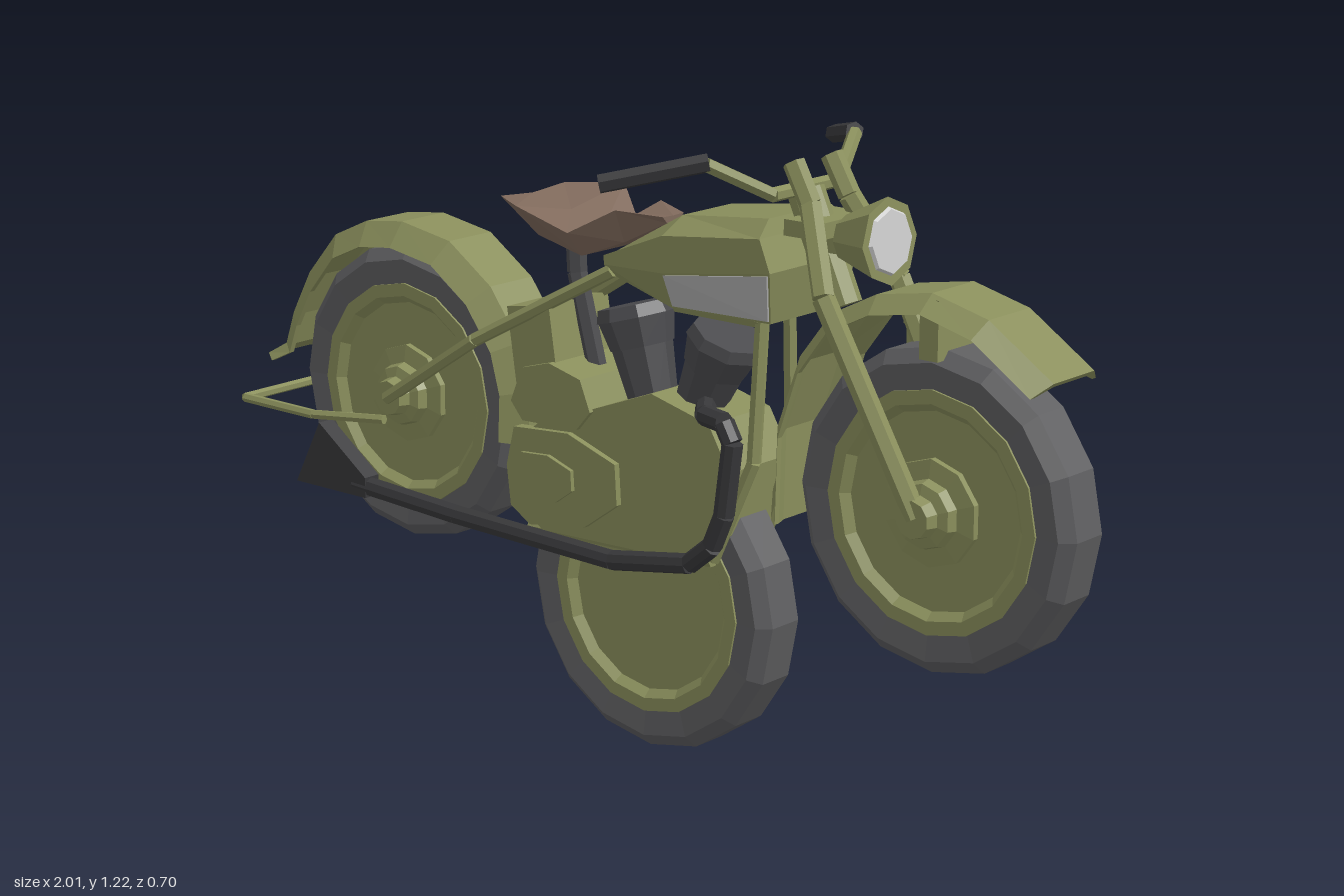
import * as THREE from 'three';
import { mergeGeometries } from 'three/addons/utils/BufferGeometryUtils.js';

const paint = (name, color) => {
  const m = new THREE.MeshStandardMaterial({ color });
  m.name = name;
  return m;
};
const V = (p) => new THREE.Vector3(...p);

// Facets any geometry
function flat(geo) {
  const g = geo.index ? geo.toNonIndexed() : geo;
  g.computeVertexNormals();
  return g;
}

// Skin over a row of equal closed loops of [x, y, z], capped at both ends
function loft(rings) {
  const n = rings[0].length, tris = [];
  const quad = (a, b, c, d) => tris.push([a, b, c], [a, c, d]);
  for (let r = 0; r + 1 < rings.length; r++)
    for (let i = 0; i < n; i++) {
      const j = (i + 1) % n;
      quad(rings[r][i], rings[r][j], rings[r + 1][j], rings[r + 1][i]);
    }
  const last = rings[rings.length - 1];
  for (let i = 0; i < Math.floor(n / 2); i++) {
    const j = n - 1 - i;
    if (i + 1 > j - 1) break;
    quad(rings[0][i], rings[0][j], rings[0][j - 1], rings[0][i + 1]);
    quad(last[i], last[i + 1], last[j - 1], last[j]);
  }
  // Turn the skin outward if its volume comes out negative
  const vol = tris.reduce((s, [a, b, c]) => s + V(a).dot(V(b).cross(V(c))), 0);
  const pos = tris.flatMap(([a, b, c]) => (vol < 0 ? [a, c, b] : [a, b, c])).flat();
  const g = new THREE.BufferGeometry();
  g.setAttribute('position', new THREE.Float32BufferAttribute(pos, 3));
  return flat(g);
}

// Straight bar or cone between two points
function bar(a, b, ra, rb = ra, sides = 6) {
  const A = V(a), d = V(b).sub(A), len = d.length();
  const g = new THREE.CylinderGeometry(rb, ra, len, sides).translate(0, len / 2, 0);
  g.applyQuaternion(new THREE.Quaternion().setFromUnitVectors(new THREE.Vector3(0, 1, 0), d.normalize()));
  return flat(g.translate(A.x, A.y, A.z));
}
const rod = (pts, r, sides) =>
  mergeGeometries(pts.slice(1).map((p, i) => bar(pts[i], p, r, r, sides)));

// Flat outline in x, y pulled from z0 to z1
function slab(pts, z0, z1) {
  const shape = new THREE.Shape(pts.map((p) => new THREE.Vector2(...p)));
  return flat(new THREE.ExtrudeGeometry(shape, { depth: z1 - z0, bevelEnabled: false }).translate(0, 0, z0));
}

const box = (x0, x1, y0, y1, z0, z1) => flat(new THREE.BoxGeometry(x1 - x0, y1 - y0, z1 - z0)
  .translate((x0 + x1) / 2, (y0 + y1) / 2, (z0 + z1) / 2));

// Turned part with its axle along z; profile is [radius, z]
const turned = (profile, sides) => flat(new THREE.LatheGeometry(
  profile.map((p) => new THREE.Vector2(...p)), sides).rotateX(Math.PI / 2));

// Channel mudguard following an outer path around a wheel centre
function mudguard(path, cx, cy, w, drop) {
  const t = 0.012;
  const section = [[0.04 + drop, -w], [0, -0.62 * w], [0, 0.62 * w], [0.04 + drop, w],
    [0.04 + drop, w - t], [t, 0.62 * w - t], [t, -0.62 * w + t], [0.04 + drop, -w + t]];
  return loft(path.map(([x, y]) => {
    const len = Math.hypot(cx - x, cy - y);
    return section.map(([d, z]) => [x + (cx - x) / len * d, y + (cy - y) / len * d, z]);
  }));
}

export function createModel() {
  const green = paint('olive paint', 0x8a8f5c);
  const rubber = paint('tyre rubber', 0x5e5e60);
  const iron = paint('dark iron', 0x4a4a4d);
  const black = paint('black enamel', 0x38383a);
  const leather = paint('brown leather', 0x806a5c);
  const glass = paint('lamp glass', 0xd0d0d0);
  const grey = paint('grey panel', 0xb2b2b2);

  const model = new THREE.Group();
  model.name = 'motorcycle';
  const add = (name, geo, mat, parent = model) => {
    const m = new THREE.Mesh(geo, mat);
    m.name = name;
    parent.add(m);
    return m;
  };

  // Two road wheels and the hubless lower wheel
  for (const [name, x, y, hub] of [['rearWheel', -0.6, 0.6, true], ['frontWheel', 0.7, 0.6, true], ['lowerWheel', 0.035, 0.3, false]]) {
    const wheel = new THREE.Group();
    wheel.name = name;
    wheel.position.set(x, y, 0);
    model.add(wheel);
    add('tyre', turned([[0.215, -0.052], [0.275, -0.06], [0.3, -0.038], [0.3, 0.038], [0.275, 0.06], [0.215, 0.052]], 16), rubber, wheel);
    add('disc', turned([[0, -0.042], [0.185, -0.042], [0.2, -0.058], [0.226, -0.058], [0.226, 0.058], [0.2, 0.058], [0.185, 0.042], [0, 0.042]], 16), green, wheel);
    if (hub) add('hub', turned([[0, -0.11], [0.035, -0.11], [0.04, -0.085], [0.06, -0.08], [0.065, -0.06], [0.1, -0.055],
      [0.1, 0.055], [0.065, 0.06], [0.06, 0.08], [0.04, 0.085], [0.035, 0.11], [0, 0.11]], 10), green, wheel);
  }

  // Mudguards
  add('frontMudguard', mudguard([[0.355, 0.52], [0.36, 0.7], [0.41, 0.84], [0.48, 0.93], [0.58, 0.98], [0.7, 1.0],
    [0.82, 0.97], [0.957, 0.88]], 0.7, 0.6, 0.1, -0.008), green);
  add('rearMudguard', mudguard([[-1.0, 0.62], [-0.945, 0.65], [-0.92, 0.72], [-0.87, 0.81], [-0.79, 0.9], [-0.7, 0.94], [-0.6, 0.952],
    [-0.47, 0.93], [-0.36, 0.855], [-0.285, 0.755], [-0.258, 0.66], [-0.262, 0.55]], -0.6, 0.6, 0.095, 0.008), green);
  add('mudguardStrut', box(0.68, 0.72, 0.88, 0.99, -0.07, 0.07), green);

  // Mirrored frame, fork, handlebar and rear carrier rails
  for (const s of [1, -1]) {
    const side = s > 0 ? 'left' : 'right';
    const m = (pts) => pts.map(([x, y, z]) => [x, y, z * s]);
    add(side + 'Fork', rod(m([[0.385, 1.19, 0.055], [0.425, 1.12, 0.057], [0.5, 0.97, 0.112], [0.7, 0.6, 0.095]]), 0.021), green);
    add(side + 'SeatStay', rod(m([[-0.6, 0.6, 0.11], [-0.35, 0.76, 0.115], [-0.05, 0.93, 0.05]]), 0.014), green);
    add(side + 'DownTube', rod(m([[0.1, 0.885, 0.04], [0.305, 0.885, 0.04], [0.3, 0.62, 0.055], [0.22, 0.42, 0.075], [-0.24, 0.4, 0.075]]), 0.014), green);
    add(side + 'CarrierRail', rod(m([[-1, 0.537, 0.127], [-0.8, 0.535, 0.125], [-0.62, 0.55, 0.1]]), 0.01), green);
    add(side + 'Handlebar', rod(m([[0.37, 1.135, 0], [0.37, 1.135, 0.095], [0.315, 1.2, 0.215]]), 0.014), green);
    add(side + 'Grip', bar(...m([[0.318, 1.203, 0.21], [0.172, 1.165, 0.337]]), 0.018), black);
  }
  add('carrierCrossbar', bar([-1, 0.537, -0.13], [-1, 0.537, 0.13], 0.01), green);
  add('headStock', bar([0.37, 1.13, 0], [0.46, 0.93, 0], 0.035, 0.035, 8), green);
  add('forkCrown', box(0.38, 0.46, 1.06, 1.09, -0.075, 0.075), green);

  // Fuel tank; one section per [x, top, ridge, bottom, half widths of each]
  const tankSection = ([x, dx, top, ridge, bottom, wt, wr, wb]) => {
    const half = [[x, top, wt], [x + dx * 0.3, top - 0.03 * (wr > 0.1), wr], [x + dx, ridge, wr], [x + dx * 0.4, bottom, wb]];
    return [...half, ...half.map(([a, b, c]) => [a, b, -c]).reverse()];
  };
  add('fuelTank', loft([
    [-0.068, 0, 0.958, 0.94, 0.922, 0.03, 0.055, 0.04],
    [0.14, 0, 1.065, 0.965, 0.895, 0.07, 0.13, 0.1],
    [0.358, 0.035, 1.09, 1.0, 0.9, 0.09, 0.13, 0.1]].map(tankSection)), green);
  const panelEnd = (x0, y0, x1, y1) => [[x0, y0, 0.133], [x1, y1, 0.106], [x1, y1, 0.098], [x0, y0, 0.125]];
  add('tankPanel', loft([panelEnd(0.145, 0.962, 0.145, 0.9), panelEnd(0.388, 0.995, 0.37, 0.905)]), grey);

  // Saddle and post
  add('saddle', loft([[-0.3, 0.09, 1.047, 1.04, 1.025], [-0.2, 0.155, 1.05, 1.02, 0.985], [-0.12, 0.1, 1.0, 0.99, 0.95],
    [-0.03, 0.066, 1.05, 1.035, 0.985], [0.057, 0.03, 1.043, 1.042, 1.03]].map(([x, w, edge, mid, low]) =>
    [[x, edge, -w], [x, mid, 0], [x, edge, w], [x, low, 0.6 * w], [x, low, -0.6 * w]])), leather);
  add('seatPost', rod([[-0.19, 1.0, 0], [-0.185, 0.9, 0], [-0.13, 0.7, 0]], 0.02), iron);

  // Headlamp
  add('headlampShell', bar([0.465, 1.055, 0], [0.56, 1.062, 0], 0.042, 0.08, 8), green);
  add('headlampGlass', bar([0.559, 1.062, 0], [0.566, 1.0625, 0], 0.063, 0.058, 8), glass);
  add('headlampBracket', box(0.4, 0.48, 1.03, 1.07, -0.03, 0.03), green);

  // Engine cases
  add('crankcase', slab([[-0.26, 0.57], [-0.2, 0.62], [-0.08, 0.66], [0, 0.69], [0.08, 0.72], [0.22, 0.685], [0.27, 0.6],
    [0.25, 0.47], [0.15, 0.41], [-0.2, 0.4], [-0.26, 0.45]], -0.09, 0.09), green);
  add('gearbox', slab([[-0.27, 0.65], [-0.24, 0.72], [-0.17, 0.74], [-0.09, 0.72], [-0.065, 0.66], [-0.1, 0.62], [-0.24, 0.615]], -0.08, 0.1), green);
  const primary = [[-0.28, 0.52], [-0.26, 0.6], [-0.12, 0.61], [0, 0.57], [0.005, 0.49], [-0.08, 0.43], [-0.22, 0.41], [-0.27, 0.44]];
  const shrink = (pts, k, cx, cy) => pts.map(([x, y]) => [cx + (x - cx) * k, cy + (y - cy) * k]);
  add('primaryCover', slab(primary, 0.08, 0.103), green);
  add('primaryCap', slab(shrink(primary, 0.5, -0.21, 0.51), 0.1, 0.112), green);
  // Stepped cover on the far side
  const timing = [[-0.28, 0.5], [-0.24, 0.42], [-0.12, 0.39], [0.1, 0.42], [0.24, 0.56], [0.2, 0.64], [0.05, 0.66], [-0.15, 0.62], [-0.25, 0.57]];
  [[1, 0.115], [0.78, 0.132], [0.52, 0.147], [0.28, 0.162]].forEach(([k, z]) =>
    add('timingCover', slab(shrink(timing, k, -0.12, 0.5), -z, -0.08), green));
  const battery = add('batteryBox', box(-0.055, 0.055, -0.08, 0.08, -0.085, 0.085), green);
  battery.position.set(-0.225, 0.76, 0);
  battery.rotation.z = 0.15;

  // Twin cylinders with wide heads
  for (const [a, b] of [[[0.015, 0.66], [-0.04, 0.855]], [[0.11, 0.66], [0.192, 0.835]]]) {
    const at = (t) => [a[0] + (b[0] - a[0]) * t, a[1] + (b[1] - a[1]) * t, 0];
    add('cylinder', bar(at(0), at(0.65), 0.045, 0.06, 8), iron);
    add('cylinderHead', bar(at(0.62), at(0.93), 0.062, 0.075, 8), iron);
    add('cylinderCap', bar(at(0.9), at(1.02), 0.077, 0.07, 8), iron);
  }

  // Exhaust pipe and fishtail
  add('exhaustPipe', rod([[0.18, 0.705, 0.05], [0.22, 0.705, 0.1], [0.28, 0.705, 0.118], [0.302, 0.67, 0.12], [0.283, 0.53, 0.12],
    [0.255, 0.465, 0.12], [0.2, 0.42, 0.12], [0.01, 0.388, 0.12], [-0.4, 0.398, 0.12], [-0.68, 0.412, 0.12]], 0.02, 8), black);
  add('fishtail', slab([[-0.64, 0.432], [-0.77, 0.525], [-0.84, 0.39], [-0.64, 0.39]], 0.1, 0.138), black);

  // Toolbox with lid and strap beside the front wheel
  add('toolbox', box(0.505, 0.725, 0.685, 0.885, -0.217, -0.13), green);
  add('toolboxLid', box(0.5, 0.73, 0.882, 0.9, -0.225, -0.127), green);
  add('toolboxStrap', box(0.605, 0.63, 0.84, 0.895, -0.231, -0.223), leather);
  add('toolboxBracket', box(0.59, 0.65, 0.8, 0.83, -0.14, -0.07), green);
  return model;
}
